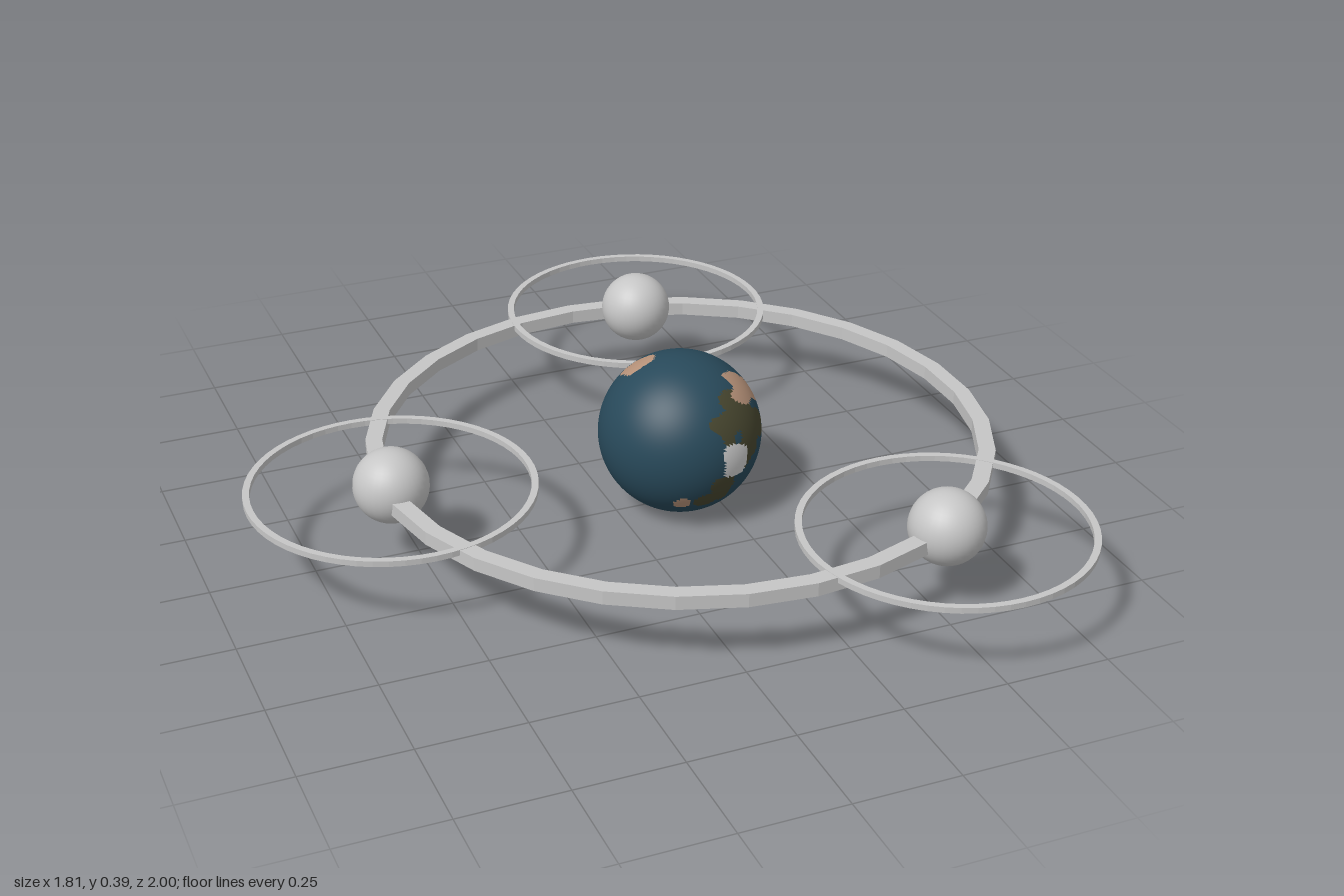
import * as THREE from 'three';

const mat = (name, color) => {
  const m = new THREE.MeshStandardMaterial({ color });
  m.name = name;
  return m;
};

const CENTRE = [0.157, 0.197, 0.016];

// Surface patches on the planet: direction x, y, z and angular radius
const ICE = [[0.33, -0.02, 0.94, 0.22], [-0.42, 0.06, -0.9, 0.44]];
const DESERT = [
  [0.62, 0.68, 0.4, 0.24], [0.78, 0.52, 0.25, 0.2], [0.95, 0.3, 0.11, 0.22],
  [0.99, -0.03, -0.05, 0.16], [0.93, -0.36, -0.03, 0.24],
  [-0.32, -0.55, 0.77, 0.13], [-0.44, 0.84, -0.31, 0.2], [0.74, 0, -0.67, 0.1],
];
const FOREST = [
  [0.28, 0.43, 0.86, 0.22], [0.42, 0.6, 0.68, 0.22], [0.6, 0.3, 0.74, 0.28],
  [0.55, 0.05, 0.83, 0.22], [0.18, -0.4, 0.9, 0.21], [0, -0.52, 0.86, 0.16],
  [0.8, 0.25, 0.54, 0.2], [0.93, 0.05, -0.36, 0.23], [0.73, 0.16, -0.66, 0.17],
  [0.07, -0.93, -0.37, 0.27],
];

// Sphere whose faces are sorted into material groups by patch
function planetGeometry(radius) {
  const geo = new THREE.SphereGeometry(radius, 128, 80);
  const patches = [ICE, DESERT, FOREST].map(list => list.map(([x, y, z, r]) =>
    ({ dir: new THREE.Vector3(x, y, z).normalize(), r })));
  const buckets = [[], [], [], []];
  const pos = geo.attributes.position, idx = geo.index.array;
  const c = new THREE.Vector3(), p = new THREE.Vector3();
  for (let i = 0; i < idx.length; i += 3) {
    c.set(0, 0, 0);
    for (let k = 0; k < 3; k++) c.add(p.fromBufferAttribute(pos, idx[i + k]));
    c.normalize();
    // Wavy coastline
    const wave = 0.03 * (Math.sin(13 * c.x + 9 * c.y) + Math.sin(17 * c.y - 11 * c.z) + Math.sin(21 * c.z + 8 * c.x));
    let kind = patches.findIndex(list => list.some(b => c.angleTo(b.dir) + wave < b.r));
    if (kind < 0) kind = 3;
    buckets[kind].push(idx[i], idx[i + 1], idx[i + 2]);
  }
  geo.setIndex(buckets.flat());
  geo.clearGroups();
  let start = 0;
  buckets.forEach((b, i) => {
    geo.addGroup(start, b.length, i);
    start += b.length;
  });
  return geo;
}

// Flat faceted hoop lying level, bottom at y = 0
function hoopGeometry(outer, inner, height, sides) {
  const circle = r => Array.from({ length: sides }, (_, i) => {
    const a = Math.PI / 2 + (i / sides) * Math.PI * 2;
    return new THREE.Vector2(r * Math.cos(a), r * Math.sin(a));
  });
  const shape = new THREE.Shape(circle(outer));
  shape.holes.push(new THREE.Path(circle(inner)));
  const geo = new THREE.ExtrudeGeometry(shape, { depth: height, bevelEnabled: false });
  geo.rotateX(-Math.PI / 2);
  return geo;
}

export function createModel() {
  const model = new THREE.Group();
  model.name = 'planetWithMoons';

  const grey = mat('moonGrey', 0xc6c6c6);
  const ice = mat('iceWhite', 0xd2d2d2);
  const desert = mat('desertTan', 0xb8937a);
  const forest = mat('forestOlive', 0x47462f);
  const ocean = mat('oceanBlue', 0x28495a);

  const add = (parent, name, geo, material, x, y, z) => {
    const mesh = new THREE.Mesh(geo, material);
    mesh.name = name;
    mesh.position.set(x, y, z);
    parent.add(mesh);
  };

  // Planet
  add(model, 'planet', planetGeometry(0.196), [ice, desert, forest, ocean], ...CENTRE);

  // Large orbit ring
  add(model, 'orbitRing', hoopGeometry(0.75, 0.71, 0.033, 30), grey, CENTRE[0], 0.166, CENTRE[2]);

  // Moons, each with its own thin ring
  const moonGeo = new THREE.SphereGeometry(0.089, 32, 24);
  const ringGeo = hoopGeometry(0.339, 0.323, 0.014, 60);
  [[-0.564, 0.016], [0.322, -0.661], [0.528, 0.658]].forEach(([x, z], i) => {
    const group = new THREE.Group();
    group.name = 'moonGroup' + (i + 1);
    group.position.set(x, 0, z);
    add(group, 'moon', moonGeo, grey, 0, 0.199, 0);
    add(group, 'moonRing', ringGeo, grey, 0, 0.186, 0);
    model.add(group);
  });

  return model;
}
